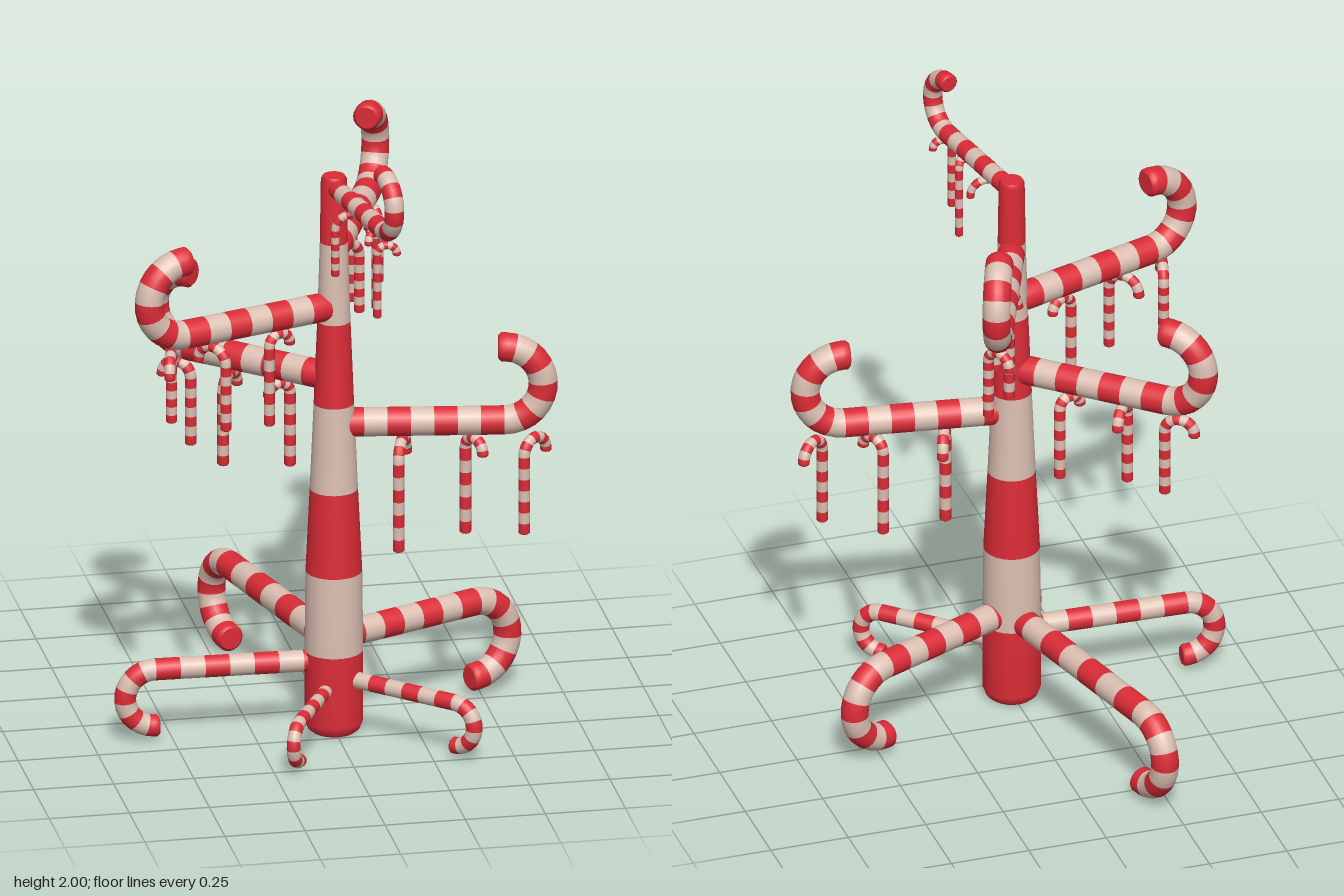
import * as THREE from 'three';

const TRUNK_Z = 0.175;
const UP = new THREE.Vector3(0, 1, 0);
const red = new THREE.MeshStandardMaterial({ color: 0xdc2c37 });
red.name = 'candyRed';
const cream = new THREE.MeshStandardMaterial({ color: 0xdcbfb2 });
cream.name = 'candyCream';

// Sweeps circles along a flat path. rings: {x, y, a (heading), r, band}; even bands are red, odd ones cream.
function stripedTube(rings, sides) {
  const pos = [], index = [], geo = new THREE.BufferGeometry();
  const addRing = ({ x, y, a, r }) => {
    const start = pos.length / 3;
    for (let j = 0; j < sides; j++) {
      const t = (j / sides) * Math.PI * 2, n = r * Math.cos(t);
      pos.push(x - Math.sin(a) * n, y + Math.cos(a) * n, r * Math.sin(t));
    }
    return start;
  };
  const starts = rings.map(addRing);
  for (let i = 0; i < rings.length - 1; i++) {
    const s = starts[i], e = starts[i + 1];
    geo.addGroup(index.length, sides * 6, rings[i].band % 2);
    for (let j = 0; j < sides; j++) {
      const k = (j + 1) % sides;
      index.push(s + j, s + k, e + j, s + k, e + k, e + j);
    }
  }
  // flat end caps with their own vertices
  [[rings[0], true], [rings[rings.length - 1], false]].forEach(([ring, first]) => {
    const s = addRing(ring), c = pos.length / 3;
    pos.push(ring.x, ring.y, 0);
    geo.addGroup(index.length, sides * 3, ring.band % 2);
    for (let j = 0; j < sides; j++) {
      const k = (j + 1) % sides;
      if (first) index.push(c, s + k, s + j);
      else index.push(c, s + j, s + k);
    }
  });
  geo.setAttribute('position', new THREE.Float32BufferAttribute(pos, 3));
  geo.setIndex(index);
  geo.computeVertexNormals();
  return geo;
}

// Candy cane along +x: seven stripes on the straight, eight on the hook, which bends to +y or -y.
function caneGeometry(L, R, r, bend, sides) {
  const hook = Math.PI * R + 0.15 * R, total = L + hook;
  const at = (s) => {
    if (s <= L) return { x: s, y: 0, a: 0 };
    const f = Math.min((s - L) / R, Math.PI), rest = Math.max(0, s - L - Math.PI * R);
    return { x: L + R * Math.sin(f) - rest, y: bend * R * (1 - Math.cos(f)), a: bend * f };
  };
  const rings = [{ ...at(0), r: r * 0.8, band: 0 }];
  for (let i = 0; i < 7; i++) rings.push({ ...at(i ? (L * i) / 7 : r * 0.2), r, band: i });
  for (let i = 0; i < 16; i++) rings.push({ ...at(L + (hook * i) / 16), r, band: 7 + Math.floor(i / 2) });
  rings.push({ ...at(total - r * 0.2), r, band: 14 }, { ...at(total), r: r * 0.8, band: 14 });
  return stripedTube(rings, sides);
}

// Big canes: [tip direction x, z from the trunk, reach, height, hook radius, tube radius]
// hanging: [distance along branch, straight part x, z, bottom height]
const BRANCHES = [
  { arm: [0.097, 0.485, 0.49, 1.79, 0.09, 0.03], cane: 0.013,
    hanging: [[0.15, -0.022, 0.312, 1.55], [0.31, 0.077, 0.455, 1.49], [0.43, 0.055, 0.593, 1.515]] },
  { arm: [0.254, -0.615, 0.64, 1.58, 0.122, 0.043], cane: 0.017,
    hanging: [[0.2, 0.12, -0.035, 1.29], [0.41, 0.125, -0.18, 1.27], [0.54, 0.227, -0.285, 1.285]] },
  { arm: [-0.626, 0.2, 0.645, 1.4, 0.12, 0.045], cane: 0.017,
    hanging: [[0.19, -0.216, 0.25, 1.05], [0.425, -0.37, 0.344, 1.08], [0.57, -0.53, 0.295, 1.1]] },
  { arm: [-0.49, -0.435, 0.64, 1.164, 0.12, 0.045], cane: 0.018,
    hanging: [[0.194, -0.11, 0.037, 0.83], [0.37, -0.306, -0.03, 0.82], [0.56, -0.38, -0.17, 0.84]] },
  { arm: [0.642, 0.1, 0.642, 1.015, 0.12, 0.045], cane: 0.018,
    hanging: [[0.21, 0.185, 0.262, 0.61], [0.43, 0.405, 0.205, 0.635], [0.617, 0.57, 0.3, 0.655]] },
];
const ROOTS = [
  [0.61, -0.265, 0.645, 0.31, 0.123, 0.043],
  [-0.225, -0.835, 0.854, 0.293, 0.12, 0.043],
  [-0.648, -0.02, 0.648, 0.237, 0.092, 0.034],
  [0.375, 0.355, 0.51, 0.185, 0.07, 0.026],
  [-0.2, 0.375, 0.42, 0.162, 0.063, 0.021],
];

export function createModel() {
  const model = new THREE.Group();
  const add = (name, geo) => {
    const mesh = new THREE.Mesh(geo, [red, cream]);
    mesh.name = name;
    model.add(mesh);
    return mesh;
  };

  // tapering trunk with seven wide stripes and a rounded foot
  const levels = [[0.005, 0.068, 0], [0.015, 0.08, 0], [0.04, 0.09, 0], [0.27, 0.09, 1], [0.53, 0.087, 2], [0.8, 0.074, 3],
    [1.08, 0.062, 4], [1.35, 0.051, 5], [1.61, 0.043, 6], [1.815, 0.04, 6], [1.827, 0.034, 6]];
  const trunk = add('trunk', stripedTube(levels.map(([y, r, band]) => ({ x: 0, y, a: Math.PI / 2, r, band })), 32));
  trunk.position.z = TRUNK_Z;

  const addArm = (name, [dx, dz, reach, y, R, r], bend) => {
    const dir = new THREE.Vector3(dx, 0, dz).normalize();
    const arm = add(name, caneGeometry(reach - R - 0.02, R, r, bend, 20));
    arm.rotation.y = Math.atan2(-dz, dx);
    arm.position.set(dir.x * 0.02, y, TRUNK_Z + dir.z * 0.02);
    return dir;
  };

  // upper branches curl upwards and carry small hanging canes
  BRANCHES.forEach(({ arm, cane, hanging }) => {
    const dir = addArm('branch', arm, 1);
    const top = arm[3] - arm[5] - cane + 0.005;
    hanging.forEach(([t, x, z, bottom]) => {
      const side = new THREE.Vector3(dir.x * t - x, 0, TRUNK_Z + dir.z * t - z);
      const R = side.length();
      side.normalize();
      const mesh = add('hangingCane', caneGeometry(top - R - bottom, R, cane, 1, 12));
      const basis = new THREE.Matrix4().makeBasis(UP, side, UP.clone().cross(side));
      mesh.quaternion.setFromRotationMatrix(basis);
      mesh.position.set(x, bottom, z);
    });
  });

  // low branches curl down to the ground
  ROOTS.forEach((root) => addArm('rootBranch', root, -1));
  return model;
}
